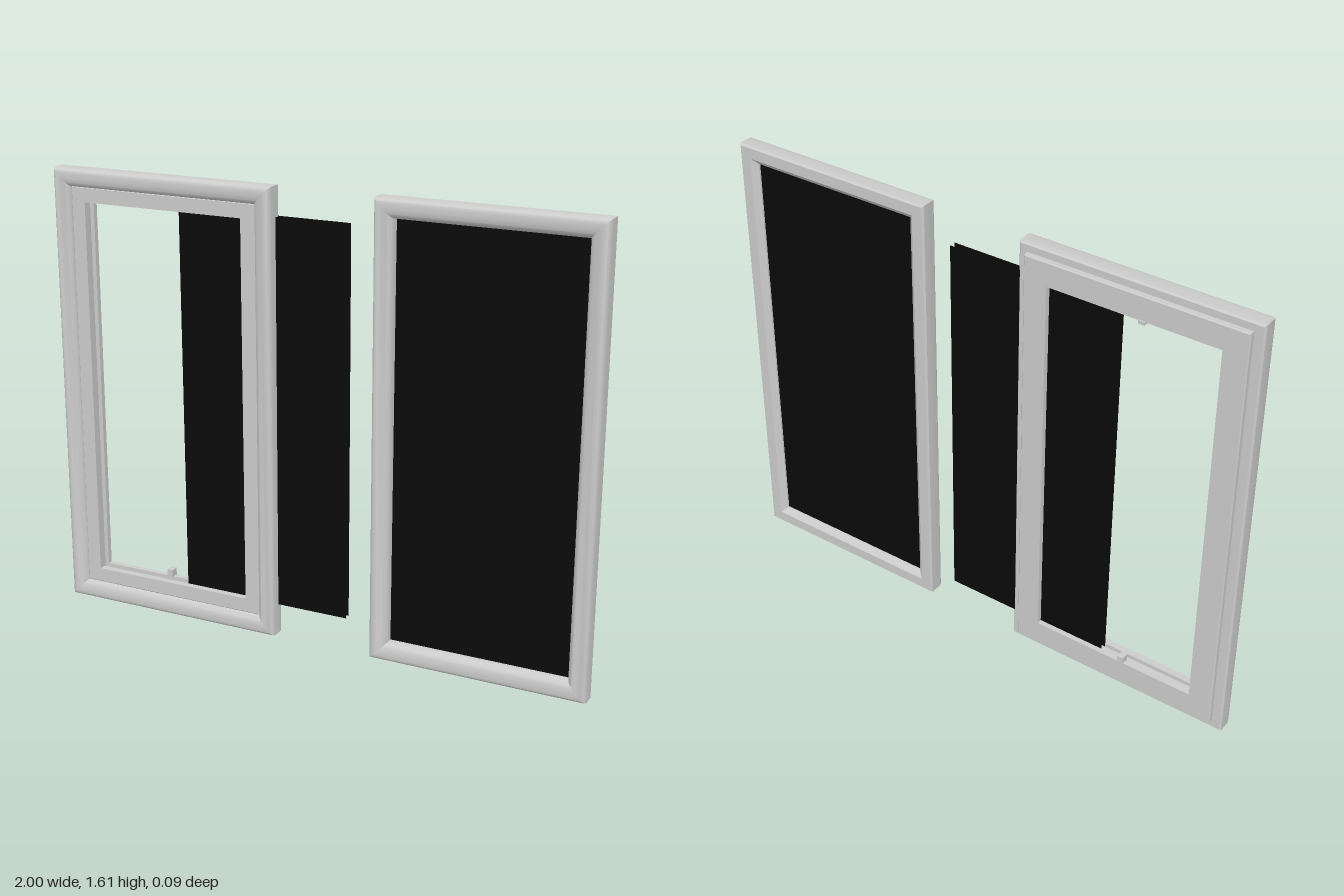
import * as THREE from 'three';
import { toCreasedNormals } from 'three/addons/utils/BufferGeometryUtils.js';

const grey = new THREE.MeshStandardMaterial({ color: 0xcccccc });
const black = new THREE.MeshStandardMaterial({ color: 0x0a0a0a, side: THREE.DoubleSide });

// Mitred rectangular frame: a closed [inset, z] profile swept around the rectangle
function makeFrame(name, x0, x1, y0, y1, profile) {
  const corners = [[1, -1], [1, 1], [-1, 1], [-1, -1]];
  const point = ([sx, sy], [inset, z]) => [
    (x0 + x1) / 2 + sx * ((x1 - x0) / 2 - inset),
    (y0 + y1) / 2 + sy * ((y1 - y0) / 2 - inset), z];
  const positions = [];
  corners.forEach((a, k) => {
    const b = corners[(k + 1) % 4];
    profile.forEach((p, i) => {
      const q = profile[(i + 1) % profile.length];
      positions.push(...point(a, p), ...point(b, p), ...point(b, q));
      positions.push(...point(a, p), ...point(b, q), ...point(a, q));
    });
  });
  const geometry = new THREE.BufferGeometry();
  geometry.setAttribute('position', new THREE.Float32BufferAttribute(positions, 3));
  const mesh = new THREE.Mesh(toCreasedNormals(geometry, 0.6), grey);
  mesh.name = name;
  return mesh;
}

// Thin mesh sheet facing the front
function makeSheet(name, x0, x1, y0, y1, z) {
  const mesh = new THREE.Mesh(new THREE.PlaneGeometry(x1 - x0, y1 - y0), black);
  mesh.position.set((x0 + x1) / 2, (y0 + y1) / 2, z);
  mesh.name = name;
  return mesh;
}

export function createModel() {
  const model = new THREE.Group();
  model.name = 'windowScreens';

  // Rounded moulding shared by both outer frames
  const moulding = [
    [0.006, -0.025], [0, -0.019], [0, 0.028], [0.003, 0.036], [0.009, 0.042], [0.018, 0.045],
    [0.034, 0.044], [0.05, 0.039], [0.06, 0.032], [0.066, 0.022],
    [0.066, -0.006], [0.045, -0.025],
  ];

  // Sliding screen unit
  const sliding = new THREE.Group();
  sliding.name = 'slidingScreen';
  sliding.add(makeFrame('outerFrame', -1, -0.15, 0, 1.61, moulding));

  // Inner sash with a groove that holds the sliding sheets
  const sash = [
    [0.003, -0.045], [0, -0.042], [0, -0.024], [0.03, -0.024], [0.032, 0.026], [0.035, 0.029],
    [0.085, 0.029], [0.085, 0.004], [0.07, 0.004], [0.07, -0.026],
    [0.085, -0.026], [0.085, -0.045],
  ];
  sliding.add(makeFrame('innerSash', -0.965, -0.182, 0.035, 1.58, sash));

  // Pair of sheets drawn partly out of the side
  [-0.023, 0].forEach((z) => sliding.add(makeSheet('slidingSheet', -0.52, 0.115, 0.11, 1.505, z)));

  // Small catches at the bottom and top of the opening
  [[0.132, 0.028], [1.492, 0.012]].forEach(([y, height]) => {
    const latch = new THREE.Mesh(new THREE.BoxGeometry(0.022, height, 0.03), grey);
    latch.position.set(-0.61, y, -0.035);
    latch.name = 'catch';
    sliding.add(latch);
  });
  model.add(sliding);

  // Fixed screen unit
  const fixed = new THREE.Group();
  fixed.name = 'fixedScreen';
  fixed.add(makeFrame('fixedFrame', 0.22, 1, 0, 1.61, moulding));
  fixed.add(makeSheet('fixedSheet', 0.28, 0.94, 0.06, 1.55, 0));
  model.add(fixed);

  return model;
}
